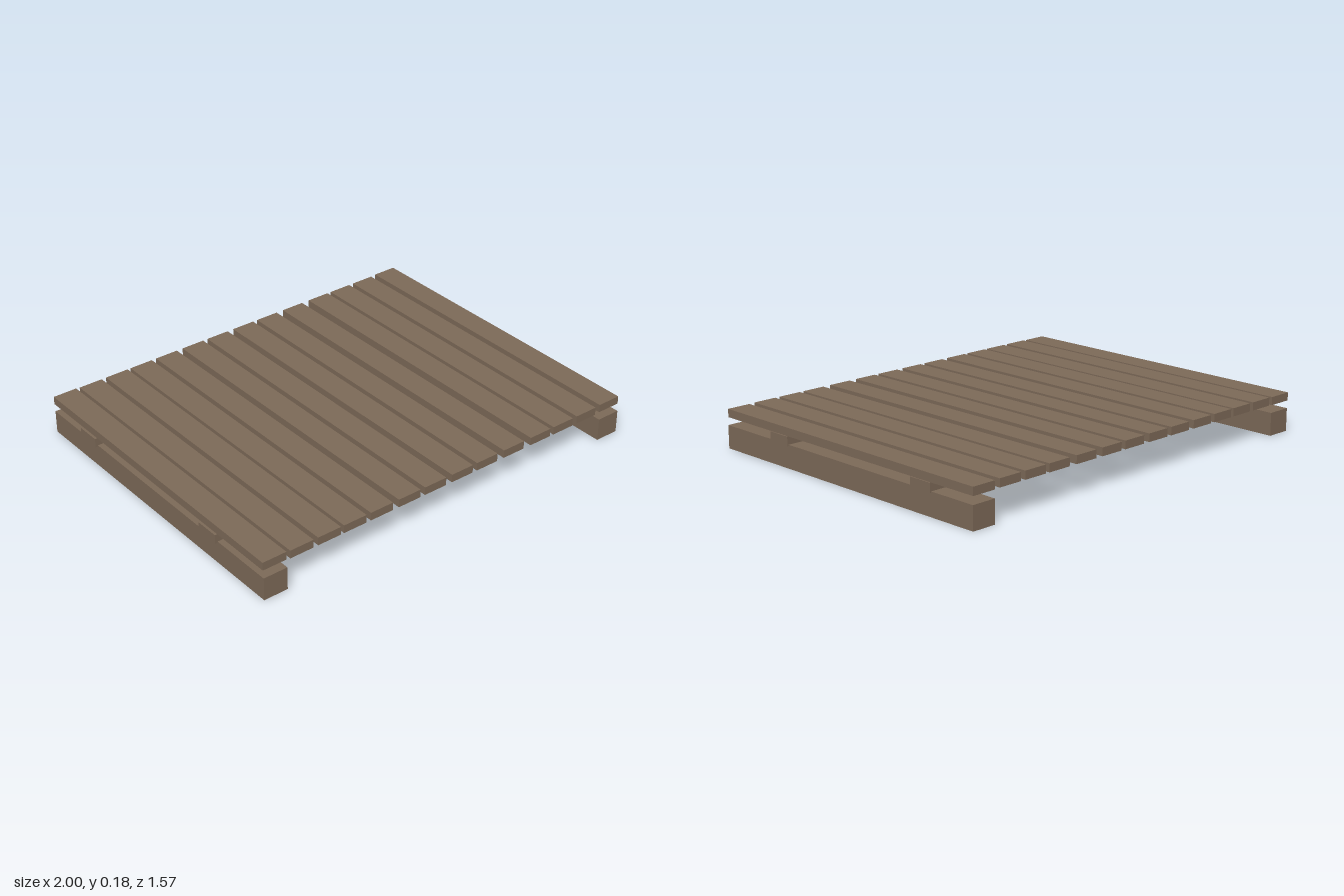
import * as THREE from 'three';

export function createModel() {
  const model = new THREE.Group();
  model.name = 'slattedPlatform';
  const wood = new THREE.MeshStandardMaterial({ color: 0x7d6a58 });
  wood.name = 'weathered wood';

  // Board given by its min and max on each axis
  const board = (name, [x0, x1], [y0, y1], [z0, z1]) => {
    const mesh = new THREE.Mesh(new THREE.BoxGeometry(x1 - x0, y1 - y0, z1 - z0), wood);
    mesh.position.set((x0 + x1) / 2, (y0 + y1) / 2, (z0 + z1) / 2);
    mesh.name = name;
    model.add(mesh);
  };

  // Slightly uneven top slats; the outer two sit a touch further back
  const half = 0.0585;
  const slatX = [-0.93, -0.797, -0.657, -0.524, -0.384, -0.235, -0.093,
    0.057, 0.198, 0.353, 0.511, 0.648, 0.789, 0.936];
  slatX.forEach((x, i) => {
    const shift = i === 0 || i === slatX.length - 1 ? -0.004 : 0;
    board(`slat${i + 1}`, [x - half, x + half], [0.145, 0.183], [-0.785 + shift, 0.785 + shift]);
  });

  // Cross rails under the slats
  board('frontRail', [-1, 1], [0.102, 0.145], [0.355, 0.472]);
  board('backRail', [-1, 1], [0.102, 0.145], [-0.548, -0.431]);

  // Skids on the ground
  board('rightSkid', [-0.988, -0.871], [0, 0.108], [-0.787, 0.785]);
  board('leftSkid', [0.877, 0.994], [0, 0.108], [-0.787, 0.785]);

  return model;
}
